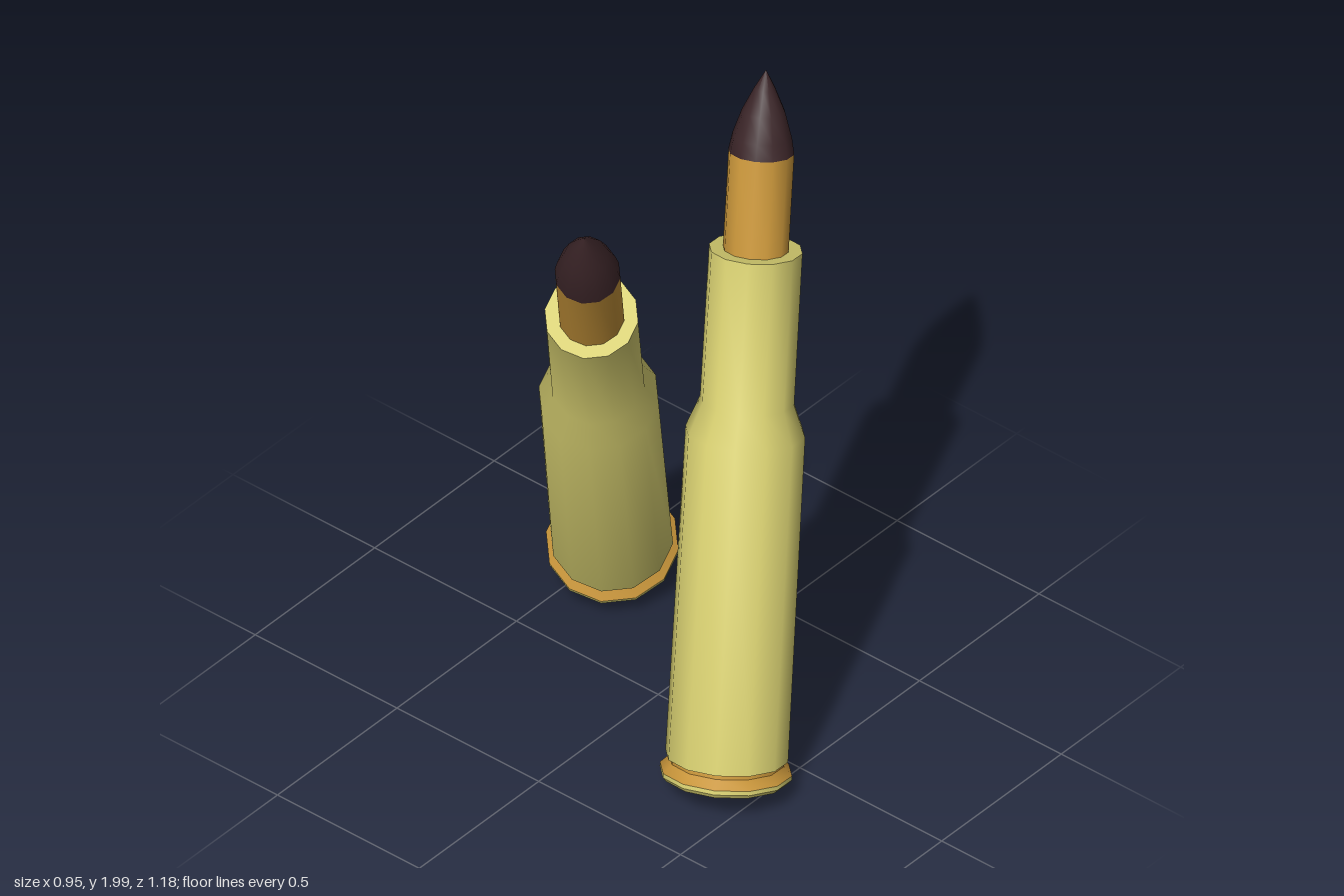
import * as THREE from 'three';
import { toCreasedNormals } from 'three/addons/utils/BufferGeometryUtils.js';

const SIDES = 12;

const brass = new THREE.MeshStandardMaterial({ color: 0xd6ce70 });
brass.name = 'paleBrass';
const copper = new THREE.MeshStandardMaterial({ color: 0xc8953a });
copper.name = 'copper';
const dark = new THREE.MeshStandardMaterial({ color: 0x3a2427 });
dark.name = 'darkTip';

// Turned part from [radius, height] pairs, listed from the bottom up
function turned(name, profile, material) {
  const points = profile.map(([r, h]) => new THREE.Vector2(r, h));
  const geometry = toCreasedNormals(new THREE.LatheGeometry(points, SIDES), 0.65);
  const mesh = new THREE.Mesh(geometry, material);
  mesh.name = name;
  return mesh;
}

// One cartridge, its axis running from the base centre to the tip
function cartridge(name, base, tip) {
  const group = new THREE.Group();
  group.name = name;
  group.add(
    // recessed disc in the base
    turned('primer', [[0, 0.022], [0.108, 0.022]], copper),
    // lip with a sloping inner ring
    turned('rim', [[0.108, 0.022], [0.145, 0], [0.17, 0], [0.181, 0.012], [0.181, 0.024]], brass),
    // bevel and groove above the lip
    turned('groove', [[0.181, 0.024], [0.157, 0.048], [0.157, 0.06]], copper),
    // body, shoulder, neck and mouth
    turned('case', [[0.157, 0.06], [0.168, 0.062], [0.164, 0.994], [0.129, 1.084],
      [0.128, 1.52], [0.085, 1.52]], brass),
    turned('bullet', [[0.09, 1.48], [0.09, 1.8]], copper),
    turned('tip', [[0.09, 1.8], [0.082, 1.845], [0.06, 1.915], [0.03, 1.98], [0, 2.035]], dark)
  );
  const axis = tip.clone().sub(base).normalize();
  group.quaternion.setFromUnitVectors(new THREE.Vector3(0, 1, 0), axis);
  group.position.copy(base);
  return group;
}

export function createModel() {
  const model = new THREE.Group();
  model.name = 'crossedCartridges';
  model.add(
    cartridge('frontCartridge', new THREE.Vector3(-0.213, 0.06, 0.417), new THREE.Vector3(0.333, 2.0, 0.1)),
    cartridge('backCartridge', new THREE.Vector3(0.307, 0.127, -0.42), new THREE.Vector3(-0.475, 1.915, 0.14))
  );
  return model;
}
